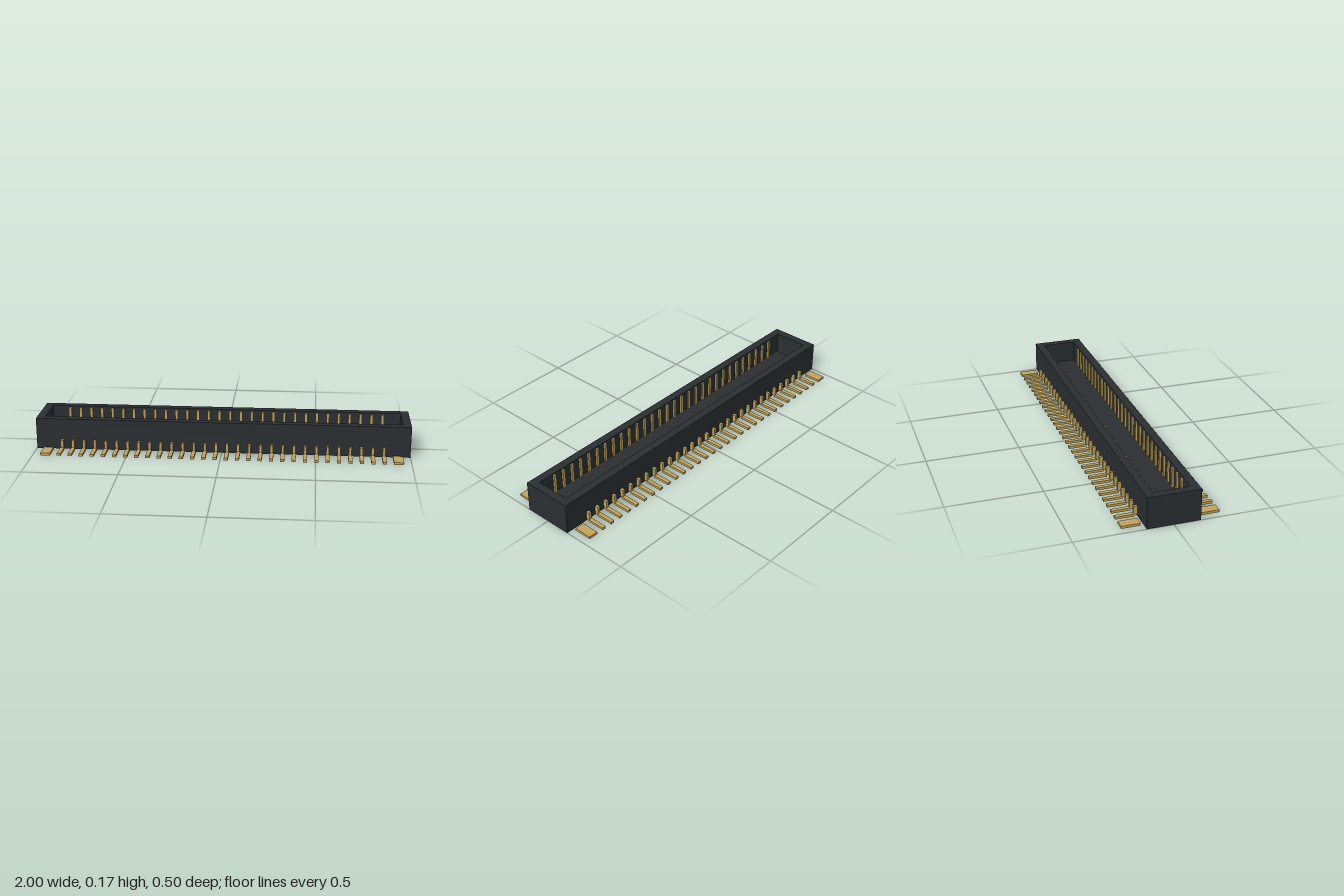
import * as THREE from 'three';

const plastic = new THREE.MeshStandardMaterial({ color: 0x2b2f32 });
const gold = new THREE.MeshStandardMaterial({ color: 0xc2a45c });

// Box given by its min/max extents on each axis
function box(name, material, [x0, x1], [y0, y1], [z0, z1]) {
  const mesh = new THREE.Mesh(new THREE.BoxGeometry(x1 - x0, y1 - y0, z1 - z0), material);
  mesh.position.set((x0 + x1) / 2, (y0 + y1) / 2, (z0 + z1) / 2);
  mesh.name = name;
  return mesh;
}

function rectangle(path, hx, hz) {
  path.moveTo(-hx, -hz);
  path.lineTo(hx, -hz);
  path.lineTo(hx, hz);
  path.lineTo(-hx, hz);
  path.closePath();
  return path;
}

export function createModel() {
  const model = new THREE.Group();
  model.name = 'pinHeaderConnector';

  const height = 0.168, floorTop = 0.05;
  const cavityX = 0.956, cavityZ = 0.094;

  // Housing: rectangular wall ring with a floor closing the cavity
  const ring = rectangle(new THREE.Shape(), 1, 0.137);
  ring.holes.push(rectangle(new THREE.Path(), cavityX, cavityZ));
  const wallGeometry = new THREE.ExtrudeGeometry(ring, { depth: height, bevelEnabled: false });
  wallGeometry.rotateX(-Math.PI / 2);
  const walls = new THREE.Mesh(wallGeometry, plastic);
  walls.name = 'housingWalls';
  model.add(walls);
  model.add(box('housingFloor', plastic, [-cavityX, cavityX], [0, floorTop], [-cavityZ, cavityZ]));

  // One row of contacts: inner blade, outer riser and solder foot per pin
  const row = new THREE.Group();
  row.name = 'frontContactRow';
  const count = 30, firstX = -0.86, pitch = (2 * 0.86) / (count - 1);
  for (let i = 0; i < count; i++) {
    const x = firstX + i * pitch;
    const across = (w) => [x - w / 2, x + w / 2];
    const pin = new THREE.Group();
    pin.name = 'contact';
    pin.add(
      box('contactBlade', gold, across(0.015), [floorTop, 0.16], [0.084, cavityZ]),
      box('contactRiser', gold, across(0.015), [0.008, 0.053], [0.137, 0.156]),
      box('solderFoot', gold, across(0.021), [0, 0.013], [0.153, 0.25])
    );
    row.add(pin);
  }

  // Wide anchor tabs at both ends of the row
  for (const side of [-1, 1]) {
    const x = side * 0.933;
    row.add(box('anchorTab', gold, [x - 0.026, x + 0.026], [0, 0.013], [0.153, 0.25]));
  }
  model.add(row);

  // Matching row on the back
  const backRow = row.clone();
  backRow.name = 'backContactRow';
  backRow.rotation.y = Math.PI;
  model.add(backRow);

  return model;
}
